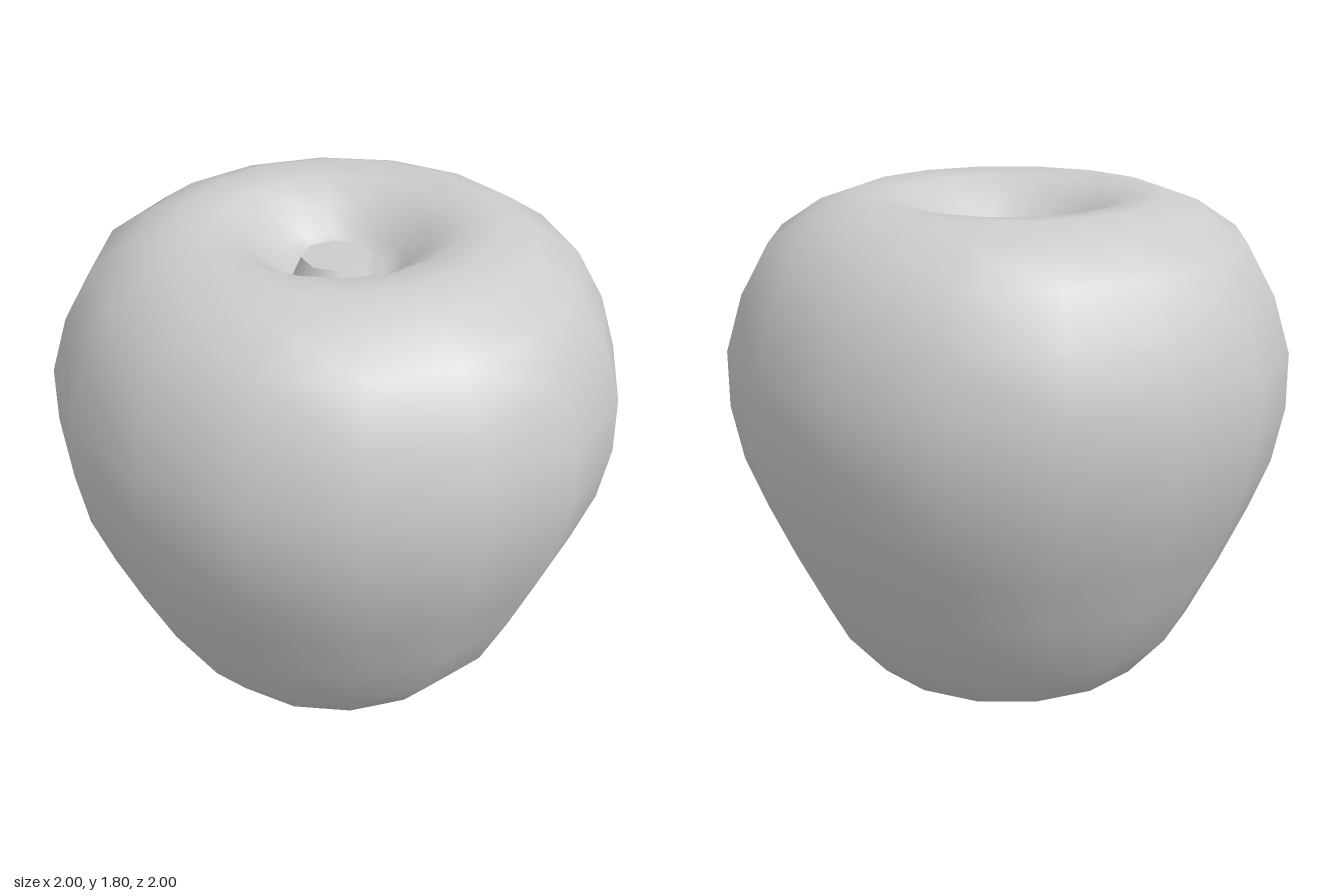
import * as THREE from 'three';

const material = new THREE.MeshStandardMaterial({ color: 0xcccccc });

function addMesh(group, name, geometry) {
  const mesh = new THREE.Mesh(geometry, material);
  mesh.name = name;
  group.add(mesh);
  return mesh;
}

export function createModel() {
  const group = new THREE.Group();
  group.name = 'apple';

  // Fruit body: one smooth 16-sided profile, from the bottom dimple
  // around the flank and down into the top hollow
  const profile = [
    [0, 0.1], [0.1, 0.09], [0.19, 0.055], [0.27, 0.02], [0.36, 0],
    [0.535, 0.08], [0.68, 0.25], [0.79, 0.47], [0.885, 0.68], [0.96, 0.87],
    [1, 1.07], [1, 1.27], [0.94, 1.47], [0.84, 1.65], [0.69, 1.75], [0.55, 1.8],
    [0.42, 1.79], [0.31, 1.73], [0.23, 1.65], [0.17, 1.6], [0, 1.58],
  ].map(([r, y]) => new THREE.Vector2(r, y));
  addMesh(group, 'fruitBody', new THREE.LatheGeometry(profile, 16));

  // Short stem stub, flared at its base, sitting inside the top hollow
  const stem = addMesh(group, 'stem', new THREE.CylinderGeometry(0.125, 0.17, 0.1, 8));
  stem.position.y = 1.62;

  return group;
}
